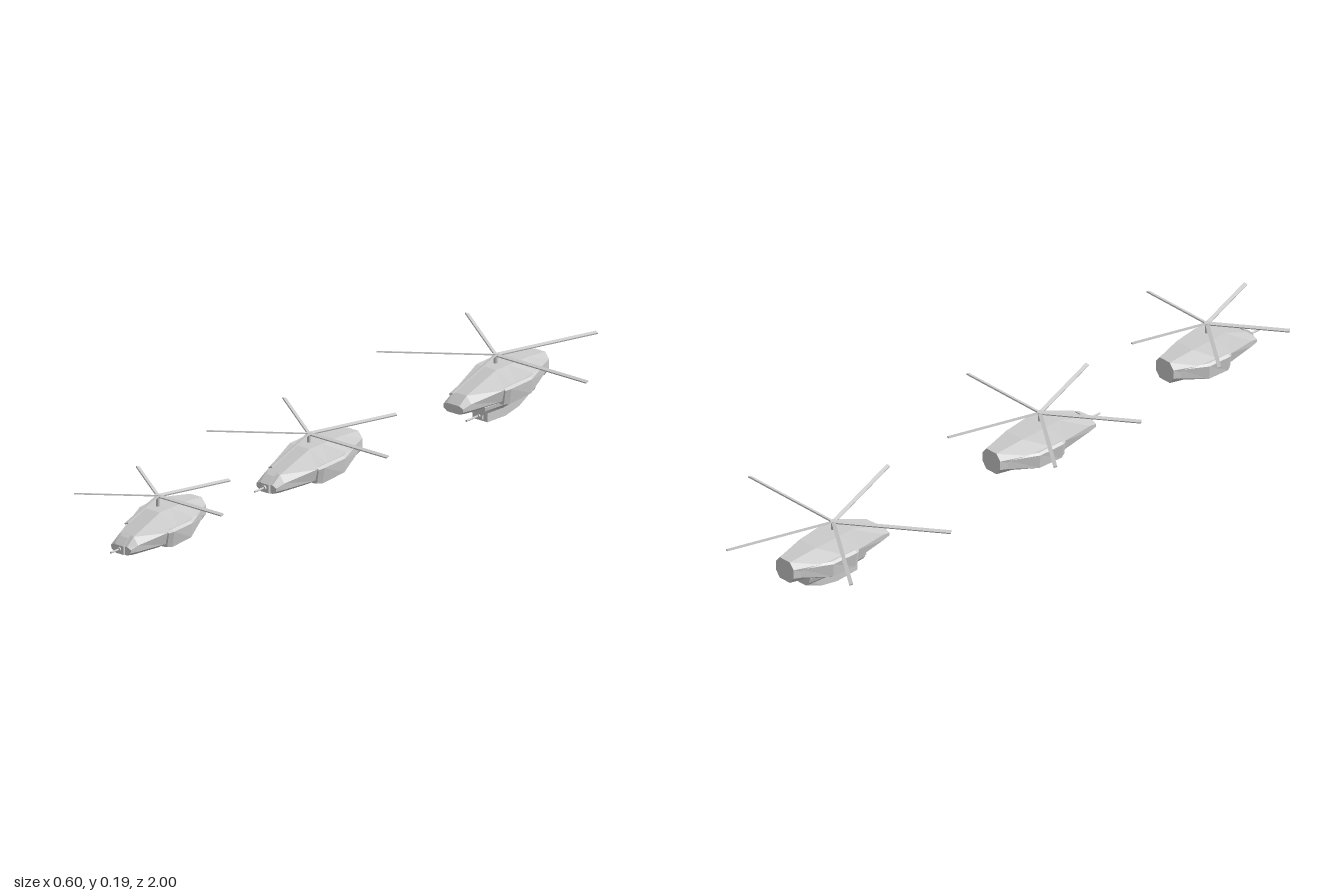
import * as THREE from 'three';

const mat = new THREE.MeshStandardMaterial({ color: 0xcccccc, flatShading: true, side: THREE.DoubleSide });

// Sections run from back to front: [z, [halfWidth, y] from top to bottom], mirrored in x.
function loft(sections) {
  const pos = [], idx = [];
  const n = sections[0].length * 2 - 2;
  for (const [z, ...half] of sections) {
    for (const [w, y] of half) pos.push(-w, y, z);
    for (const [w, y] of [...half].reverse()) pos.push(w, y, z);
  }
  for (let s = 0; s < sections.length - 1; s++) {
    for (let j = 0; j < n; j++) {
      const a = s * n + j, b = s * n + (j + 1) % n;
      idx.push(a, b, b + n, a, b + n, a + n);
    }
  }
  const last = (sections.length - 1) * n;
  for (let j = 1; j < n - 1; j++) {
    idx.push(0, j + 1, j, last, last + j, last + j + 1);
  }
  const g = new THREE.BufferGeometry();
  g.setAttribute('position', new THREE.Float32BufferAttribute(pos, 3));
  g.setIndex(idx);
  const flat = g.toNonIndexed();
  flat.computeVertexNormals();
  return flat;
}

function add(parent, name, geometry, x = 0, y = 0, z = 0) {
  const mesh = new THREE.Mesh(geometry, mat);
  mesh.name = name;
  mesh.position.set(x, y, z);
  parent.add(mesh);
  return mesh;
}

// Gun: breech and a thin barrel pointing forward
function addGun(parent, y, z, length) {
  const barrel = new THREE.CylinderGeometry(0.003, 0.003, length, 8).rotateX(Math.PI / 2);
  add(parent, 'gunBarrel', barrel, 0, y, z + length / 2);
  const breech = new THREE.CylinderGeometry(0.007, 0.007, 0.014, 10).rotateX(Math.PI / 2);
  add(parent, 'gunBreech', breech, 0, y, z);
}

function helicopter({ name, z, radius, rotorY, stretch, gondola }) {
  const craft = new THREE.Group();
  craft.name = name;
  craft.position.set(-0.03, 0, z);

  const body = new THREE.Group();
  body.name = 'body';
  body.scale.z = stretch;
  craft.add(body);

  // Faceted hull
  add(body, 'hull', loft([
    [-0.19, [0.02, 0.137], [0.035, 0.118], [0.035, 0.09], [0.02, 0.07]],
    [-0.1, [0.032, 0.15], [0.058, 0.108], [0.052, 0.072], [0.027, 0.056]],
    [-0.01, [0.038, 0.154], [0.065, 0.1], [0.055, 0.065], [0.03, 0.048]],
    [0.04, [0.036, 0.153], [0.062, 0.098], [0.054, 0.063], [0.03, 0.048]],
    [0.155, [0.025, 0.107], [0.041, 0.085], [0.04, 0.066], [0.024, 0.054]],
    [0.184, [0.022, 0.083], [0.036, 0.077], [0.035, 0.067], [0.022, 0.058]],
  ]));

  // Side sponsons, tapering to the tail
  add(body, 'sponsons', loft([
    [-0.165, [0.034, 0.116], [0.04, 0.112], [0.04, 0.085], [0.034, 0.078]],
    [-0.07, [0.066, 0.108], [0.073, 0.102], [0.07, 0.06], [0.058, 0.054]],
    [0.02, [0.066, 0.106], [0.074, 0.1], [0.066, 0.052], [0.054, 0.05]],
    [0.036, [0.06, 0.102], [0.066, 0.096], [0.06, 0.056], [0.052, 0.053]],
  ]));

  if (gondola) {
    // Belly gondola with collar, front window and gun
    add(body, 'gondolaCollar', loft([
      [-0.13, [0.04, 0.066], [0.034, 0.048], [0.024, 0.036]],
      [0.0, [0.048, 0.055], [0.046, 0.044], [0.027, 0.027]],
      [0.09, [0.038, 0.055], [0.036, 0.044], [0.027, 0.03]],
    ]));
    add(body, 'gondola', loft([
      [-0.12, [0.024, 0.045], [0.022, 0.032]],
      [-0.07, [0.027, 0.045], [0.027, 0.012]],
      [-0.01, [0.027, 0.045], [0.027, 0]],
      [0.068, [0.027, 0.045], [0.027, 0.003]],
    ]));
    add(body, 'gondolaWindow', new THREE.BoxGeometry(0.026, 0.018, 0.008), 0, 0.018, 0.07);
    addGun(body, 0.018, 0.072, 0.055);
  } else {
    // Nose turret with sloping top
    add(body, 'noseTurret', loft([
      [0.15, [0.014, 0.112], [0.015, 0.056]],
      [0.168, [0.014, 0.104], [0.015, 0.056]],
      [0.192, [0.014, 0.085], [0.015, 0.06]],
    ]));
    addGun(body, 0.074, 0.19, 0.045);
  }

  // Mast and five-bladed rotor
  const mastHeight = rotorY - 0.14;
  add(craft, 'mast', new THREE.CylinderGeometry(0.006, 0.006, mastHeight, 10), 0, 0.14 + mastHeight / 2, 0);
  const rotor = new THREE.Group();
  rotor.name = 'rotor';
  rotor.position.y = rotorY;
  craft.add(rotor);
  add(rotor, 'rotorHub', new THREE.CylinderGeometry(0.009, 0.009, 0.007, 10));
  for (let i = 0; i < 5; i++) {
    const blade = new THREE.BoxGeometry(radius, 0.004, 0.011).rotateX(0.3).translate(radius / 2, 0, 0);
    add(rotor, 'rotorBlade', blade).rotation.y = i * Math.PI * 2 / 5;
  }
  return craft;
}

export function createModel() {
  const model = new THREE.Group();
  model.name = 'helicopterTrio';
  model.add(
    helicopter({ name: 'rearHelicopter', z: -0.684, radius: 0.332, rotorY: 0.178, stretch: 1, gondola: true }),
    helicopter({ name: 'middleHelicopter', z: 0.124, radius: 0.286, rotorY: 0.179, stretch: 1, gondola: false }),
    helicopter({ name: 'frontHelicopter', z: 0.777, radius: 0.234, rotorY: 0.184, stretch: 0.87, gondola: false }),
  );
  return model;
}
